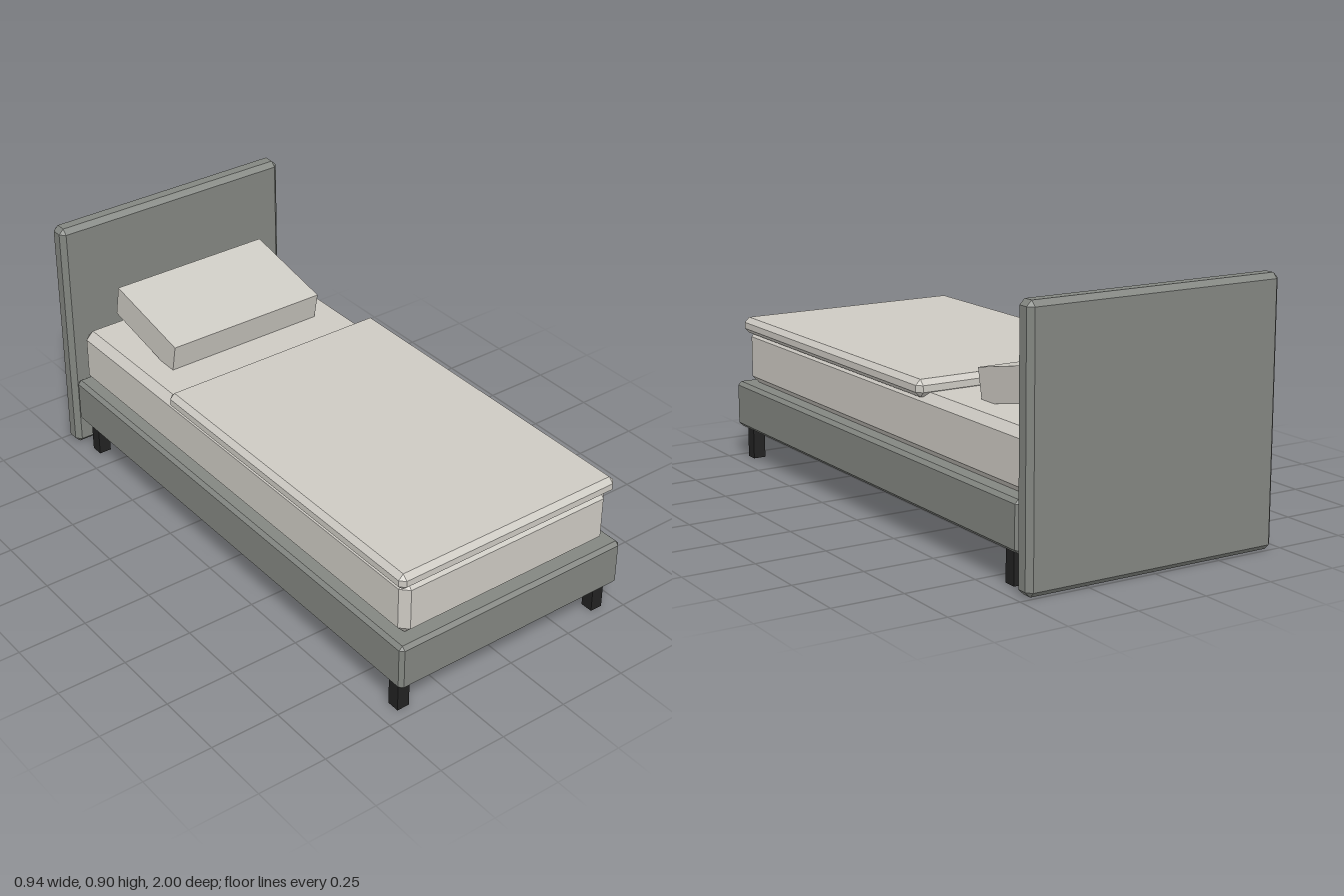
import * as THREE from 'three';
import { ConvexGeometry } from 'three/addons/geometries/ConvexGeometry.js';

function material(name, color) {
  const m = new THREE.MeshStandardMaterial({ color });
  m.name = name;
  return m;
}

// Box given by its limits, with all edges and corners cut by a flat chamfer
function chamferBox([x0, x1], [y0, y1], [z0, z1], c) {
  const half = [(x1 - x0) / 2, (y1 - y0) / 2, (z1 - z0) / 2];
  const points = [];
  for (const sx of [-1, 1]) for (const sy of [-1, 1]) for (const sz of [-1, 1]) {
    for (let full = 0; full < 3; full++) {
      const p = [sx, sy, sz].map((s, i) => s * (half[i] - (i === full ? 0 : c)));
      points.push(new THREE.Vector3(...p));
    }
  }
  return new ConvexGeometry(points).translate((x0 + x1) / 2, (y0 + y1) / 2, (z0 + z1) / 2);
}

export function createModel() {
  const group = new THREE.Group();
  group.name = 'bed';
  const upholstery = material('grey upholstery', 0x838681);
  const linen = material('pale linen', 0xcdcac3);
  const black = material('black legs', 0x222222);

  const add = (name, geometry, mat) => {
    const mesh = new THREE.Mesh(geometry, mat);
    mesh.name = name;
    group.add(mesh);
    return mesh;
  };

  // Upholstered frame
  add('headboard', chamferBox([-0.47, 0.47], [0, 0.9], [-1, -0.927], 0.018), upholstery);
  add('bedBase', chamferBox([-0.46, 0.46], [0.115, 0.285], [-0.922, 1], 0.013), upholstery);

  // Bedding
  add('mattress', chamferBox([-0.425, 0.425], [0.284, 0.49], [-0.913, 0.963], 0.028), linen);
  add('blanket', chamferBox([-0.442, 0.442], [0.474, 0.533], [-0.317, 0.972], 0.018), linen);
  const pillow = add('pillow', new THREE.BoxGeometry(0.62, 0.118, 0.373), linen);
  pillow.position.set(0, 0.57, -0.66);
  pillow.rotation.x = 0.2;

  // Four square legs
  for (const x of [-0.414, 0.414]) for (const z of [-0.848, 0.936]) {
    const leg = add('leg', new THREE.BoxGeometry(0.046, 0.12, 0.046), black);
    leg.position.set(x, 0.06, z);
  }
  return group;
}
